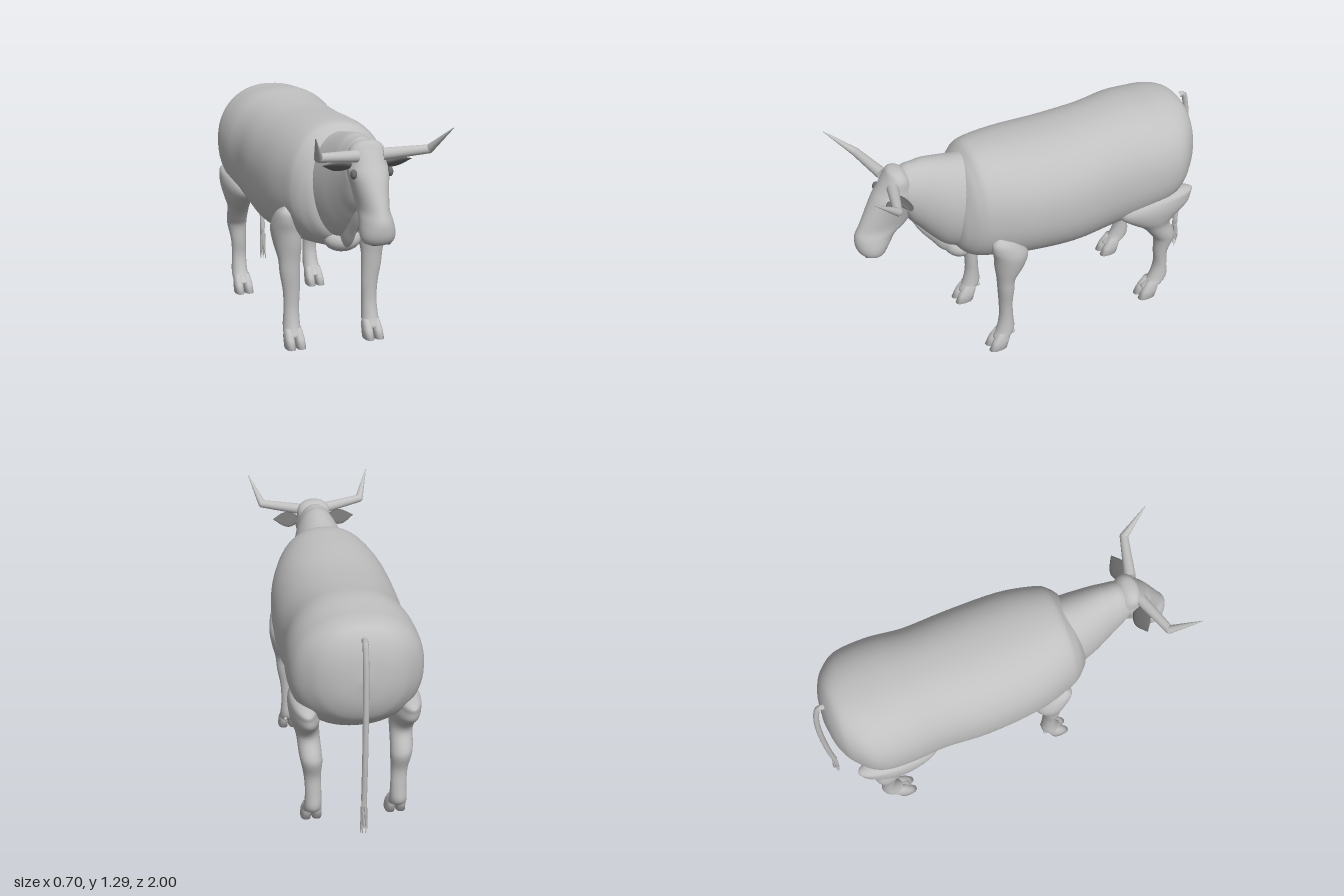
import * as THREE from 'three';

const hide = new THREE.MeshStandardMaterial({ color: 0xc0c0c0 });
hide.name = 'greyHide';
const dark = new THREE.MeshStandardMaterial({ color: 0x6c6c6c });
dark.name = 'darkGrey';

// Skin over rows of [x, y, z, radiusA, radiusB]; rings lie square to the given axis.
function loft(rows, axis, { steps = 4, sides = 32, power = 2 } = {}) {
  const centres = new THREE.CatmullRomCurve3(rows.map(r => new THREE.Vector3(r[0], r[1], r[2])), false, 'catmullrom', 0.5);
  const radii = new THREE.CatmullRomCurve3(rows.map(r => new THREE.Vector3(r[3], r[4], 0)), false, 'catmullrom', 0.5);
  const count = (rows.length - 1) * steps;
  const pos = [], index = [];
  const bend = v => Math.sign(v) * Math.pow(Math.abs(v), 2 / power);
  for (let i = 0; i <= count; i++) {
    const p = centres.getPoint(i / count), r = radii.getPoint(i / count);
    for (let j = 0; j < sides; j++) {
      const a = (j / sides) * Math.PI * 2;
      const u = bend(Math.cos(a)) * Math.max(r.x, 0), v = bend(Math.sin(a)) * Math.max(r.y, 0);
      if (axis === 'z') pos.push(p.x + u, p.y + v, p.z);
      else if (axis === 'y') pos.push(p.x + u, p.y, p.z + v);
      else pos.push(p.x, p.y + u, p.z + v);
      if (i < count) {
        const k = (j + 1) % sides, b = i * sides, t = b + sides;
        index.push(b + j, b + k, t + k, b + j, t + k, t + j);
      }
    }
  }
  // Turn the faces outward whichever way the rows run.
  let volume = 0;
  const [A, B, C] = [0, 1, 2].map(() => new THREE.Vector3());
  for (let i = 0; i < index.length; i += 3) {
    A.fromArray(pos, index[i] * 3); B.fromArray(pos, index[i + 1] * 3); C.fromArray(pos, index[i + 2] * 3);
    volume += A.dot(B.cross(C));
  }
  if (volume < 0) index.reverse();
  const geo = new THREE.BufferGeometry();
  geo.setAttribute('position', new THREE.Float32BufferAttribute(pos, 3));
  geo.setIndex(index);
  geo.computeVertexNormals();
  return geo;
}

// Tapered rod between two points.
function rod(a, b, ra, rb, sides = 16) {
  const from = new THREE.Vector3(...a), to = new THREE.Vector3(...b);
  const dir = to.clone().sub(from);
  const geo = new THREE.CylinderGeometry(rb, ra, dir.length(), sides);
  geo.applyQuaternion(new THREE.Quaternion().setFromUnitVectors(new THREE.Vector3(0, 1, 0), dir.normalize()));
  const mid = from.add(to).multiplyScalar(0.5);
  return geo.translate(mid.x, mid.y, mid.z);
}

function ball(x, y, z, rx, ry, rz) {
  return new THREE.SphereGeometry(1, 20, 14).scale(rx, ry, rz).translate(x, y, z);
}

export function createModel() {
  const model = new THREE.Group();
  model.name = 'horned cow';
  const add = (name, geo, mat = hide, parent = model) => {
    const mesh = new THREE.Mesh(geo, mat);
    mesh.name = name;
    parent.add(mesh);
    return mesh;
  };

  // Barrel of the body, chest to rump
  add('body', loft([
    [0, 0.80, 0.49, 0, 0], [0, 0.82, 0.48, 0.10, 0.12], [0, 0.83, 0.465, 0.17, 0.19],
    [0, 0.86, 0.43, 0.215, 0.265], [0, 0.875, 0.39, 0.25, 0.305], [0, 0.885, 0.33, 0.278, 0.33],
    [0, 0.87, 0.14, 0.325, 0.345], [0, 0.85, -0.15, 0.338, 0.353], [0, 0.865, -0.39, 0.325, 0.35],
    [0, 0.885, -0.56, 0.34, 0.345], [0, 0.895, -0.7, 0.34, 0.325], [0, 0.915, -0.79, 0.315, 0.30],
    [0, 0.935, -0.86, 0.255, 0.262], [0, 0.94, -0.9, 0.2, 0.215], [0, 0.94, -0.93, 0.12, 0.13],
    [0, 0.93, -0.945, 0, 0],
  ], 'z', { sides: 56, power: 2.2 }));

  // Neck, dewlap and brisket
  add('neck', loft([
    [0, 1.07, 0.78, 0.04, 0.06], [0, 1.065, 0.74, 0.09, 0.115], [0, 1.04, 0.70, 0.105, 0.168],
    [0, 1.01, 0.65, 0.12, 0.20], [0, 0.98, 0.60, 0.135, 0.234], [0, 0.93, 0.52, 0.158, 0.27],
    [0, 0.90, 0.42, 0.177, 0.28], [0, 0.90, 0.30, 0.18, 0.27],
  ], 'z', { sides: 40 }));
  add('dewlap', loft([
    [0, 0.89, 0.70, 0, 0], [0, 0.83, 0.65, 0.02, 0.05], [0, 0.75, 0.58, 0.03, 0.07],
    [0, 0.67, 0.52, 0.035, 0.07], [0, 0.64, 0.46, 0.03, 0.06], [0, 0.64, 0.40, 0, 0],
  ], 'z'));
  add('brisket', ball(0, 0.615, 0.43, 0.1, 0.065, 0.08));

  // Head, poll to muzzle
  add('head', loft([
    [0, 1.213, 0.76, 0, 0], [0, 1.205, 0.76, 0.05, 0.035], [0, 1.17, 0.755, 0.088, 0.062],
    [0, 1.11, 0.757, 0.095, 0.098], [0, 1.06, 0.775, 0.102, 0.115], [0, 0.99, 0.80, 0.088, 0.13],
    [0, 0.90, 0.838, 0.073, 0.137], [0, 0.85, 0.885, 0.079, 0.113], [0, 0.80, 0.905, 0.087, 0.095],
    [0, 0.76, 0.912, 0.084, 0.077], [0, 0.735, 0.91, 0.065, 0.055], [0, 0.717, 0.91, 0, 0],
  ], 'y', { sides: 40 }));

  for (const s of [1, -1]) {
    const side = s > 0 ? 'left' : 'right';

    // Face details
    add(side + 'Eye', ball(s * 0.094, 1.062, 0.83, 0.016, 0.024, 0.02), dark);
    add(side + 'Nostril', ball(s * 0.035, 0.742, 0.958, 0.018, 0.009, 0.009), dark);

    // Horn in two straight lengths with a rounded elbow
    const horn = new THREE.Group();
    horn.name = side + 'Horn';
    model.add(horn);
    const elbow = [s * 0.285, 1.165, 0.86];
    add('hornBase', rod([s * 0.07, 1.143, 0.80], elbow, 0.031, 0.022), hide, horn);
    add('hornElbow', ball(...elbow, 0.022, 0.022, 0.022), hide, horn);
    add('hornTip', rod(elbow, [s * 0.348, 1.293, 0.998], 0.022, 0.002), hide, horn);

    // Pointed leaf ear, tipped forward edge up
    const ear = loft([
      [s * 0.07, 0, 0, 0, 0], [s * 0.1, 0, 0, 0.014, 0.03], [s * 0.14, 0, 0, 0.016, 0.05],
      [s * 0.18, 0.003, 0, 0.012, 0.042], [s * 0.235, 0.01, 0, 0, 0],
    ], 'x', { sides: 20 });
    add(side + 'Ear', ear.rotateX(-0.6).translate(0, 1.093, 0.775), dark);

    // Legs
    add(side + 'FrontLeg', loft([
      [0.225, 0.05, 0.295, 0, 0], [0.225, 0.06, 0.292, 0.045, 0.042], [0.224, 0.11, 0.262, 0.046, 0.05],
      [0.222, 0.2, 0.255, 0.042, 0.038], [0.222, 0.3, 0.257, 0.046, 0.037], [0.23, 0.4, 0.258, 0.055, 0.044],
      [0.233, 0.48, 0.258, 0.06, 0.05], [0.237, 0.56, 0.24, 0.075, 0.08], [0.25, 0.64, 0.235, 0.075, 0.095],
      [0.26, 0.70, 0.26, 0.06, 0.085], [0.265, 0.75, 0.29, 0.04, 0.055], [0.27, 0.785, 0.31, 0, 0],
    ].map(([x, ...r]) => [s * x, ...r]), 'y'));
    add(side + 'HindLeg', loft([
      [0.225, 0.05, -0.65, 0, 0], [0.225, 0.06, -0.655, 0.045, 0.045], [0.224, 0.11, -0.71, 0.046, 0.055],
      [0.222, 0.2, -0.725, 0.042, 0.038], [0.225, 0.3, -0.72, 0.044, 0.04], [0.23, 0.39, -0.732, 0.055, 0.058],
      [0.235, 0.44, -0.715, 0.058, 0.07], [0.24, 0.52, -0.665, 0.06, 0.085], [0.25, 0.58, -0.64, 0.07, 0.14],
      [0.255, 0.64, -0.64, 0.077, 0.21], [0.26, 0.69, -0.65, 0.072, 0.215], [0.262, 0.73, -0.69, 0.055, 0.17],
      [0.265, 0.755, -0.72, 0, 0],
    ].map(([x, ...r]) => [s * x, ...r]), 'y'));

    // Cloven hooves with dewclaws behind
    for (const [end, z] of [['Front', 0.32], ['Hind', -0.63]]) {
      const hoof = new THREE.Group();
      hoof.name = side + end + 'Hoof';
      model.add(hoof);
      for (const t of [-1, 1]) {
        const x = s * 0.223 + t * 0.028;
        add('toe', loft([
          [x, 0, z, 0, 0], [x, 0.001, z, 0.027, 0.051], [x, 0.05, z - 0.02, 0.026, 0.047],
          [x - t * 0.004, 0.1, z - 0.045, 0.022, 0.035], [x - t * 0.004, 0.105, z - 0.047, 0, 0],
        ], 'y', { steps: 1, sides: 20, power: 2.5 }), hide, hoof);
        add('dewclaw', ball(x - t * 0.005, 0.087, z - 0.094, 0.01, 0.01, 0.012), hide, hoof);
      }
    }
  }

  // Tail with a tuft of hair strands
  const tailPath = new THREE.CatmullRomCurve3([
    [1.15, -0.92], [1.155, -0.945], [1.09, -0.966], [0.88, -0.983], [0.5, -0.976], [0.28, -0.96],
  ].map(([y, z]) => new THREE.Vector3(0, y, z)));
  add('tail', new THREE.TubeGeometry(tailPath, 48, 0.015, 12));
  const tuft = new THREE.Group();
  tuft.name = 'tailTuft';
  model.add(tuft);
  for (let i = 0; i < 11; i++) {
    const a = i * 2.4, r = 0.006 + 0.0014 * i;
    const dx = Math.cos(a) * r, dz = Math.sin(a) * r;
    add('strand', rod([dx * 0.5, 0.34 - 0.012 * i, -0.962 + dz * 0.5],
      [dx, 0.085 + 0.02 * (i % 4), -0.963 + dz], 0.009, 0.002, 6), hide, tuft);
  }
  return model;
}
